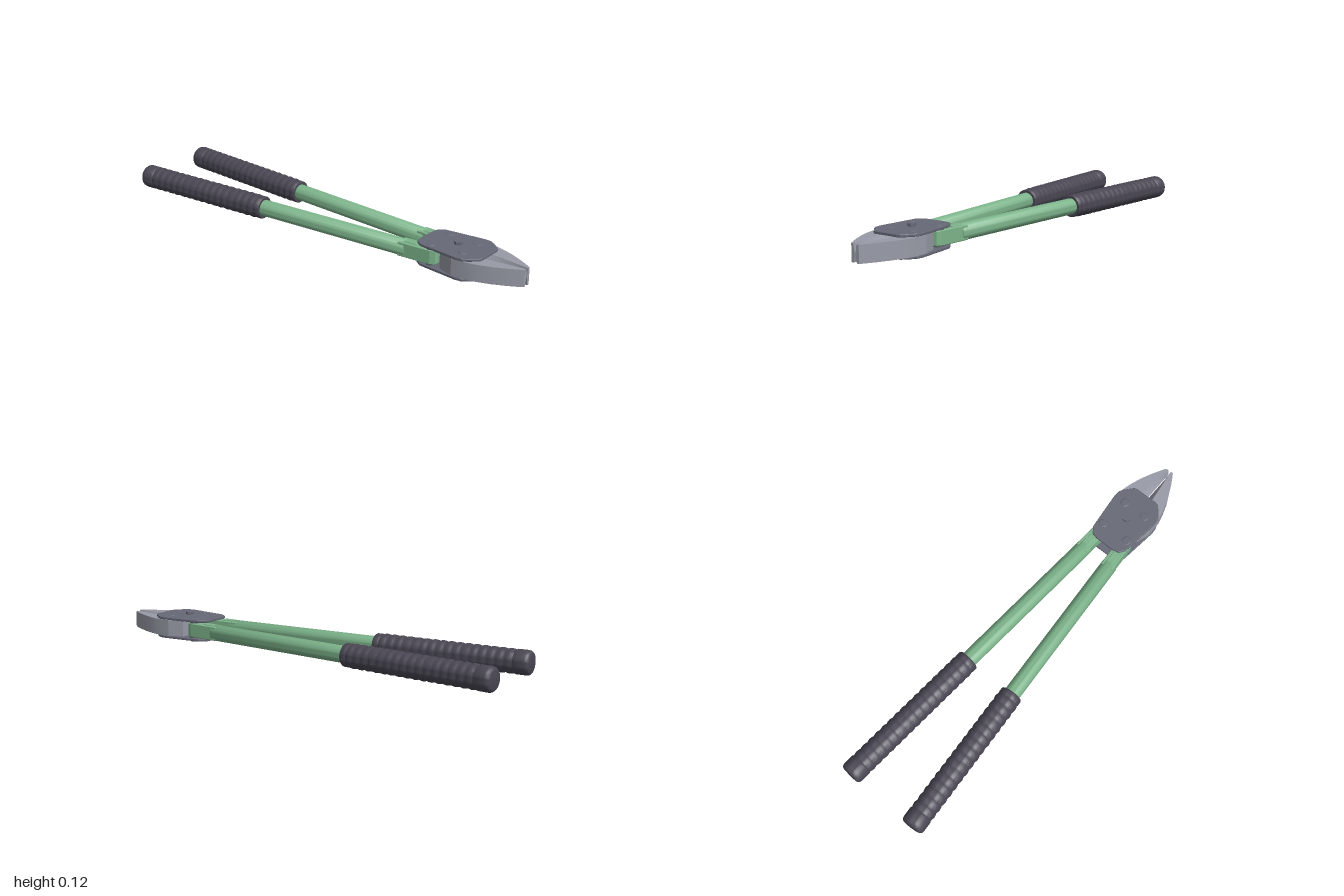
import * as THREE from 'three';
import { toCreasedNormals } from 'three/addons/utils/BufferGeometryUtils.js';

const mat = (name, color) => new THREE.MeshStandardMaterial({ name, color });
const MID = 0.056; // height of the tool's middle plane

export function createModel() {
  const green = mat('greenPaint', 0x7db48b);
  const rubber = mat('darkRubber', 0x4a4753);
  const steel = mat('darkSteel', 0x666976);
  const blade = mat('bladeSteel', 0x989ba7);

  const add = (parent, name, geo, material, x = 0, y = 0, z = 0) => {
    const m = new THREE.Mesh(geo, material);
    m.name = name;
    m.position.set(x, y, z);
    parent.add(m);
    return m;
  };
  // Turned part whose axis runs towards -x
  const turned = (pts, sides) => toCreasedNormals(
    new THREE.LatheGeometry(pts.map(p => new THREE.Vector2(...p)), sides).rotateZ(Math.PI / 2), 0.7);
  // Flat outline in x/z, extruded upwards from y0
  const slab = (pts, y0, height, bevel) => {
    const shape = new THREE.Shape(pts.map(([x, z]) => new THREE.Vector2(x, -z)));
    const geo = new THREE.ExtrudeGeometry(shape, {
      depth: height - 2 * bevel, bevelEnabled: bevel > 0, bevelSize: bevel,
      bevelThickness: bevel, bevelOffset: -bevel, bevelSegments: 1
    });
    return geo.rotateX(-Math.PI / 2).translate(0, y0 + bevel, 0);
  };

  // Ribbed grip profile with rounded end
  const S0 = 0.76, S1 = 1.471, RIBS = 16;
  const gripPts = [[0.03, S0 - 0.004], [0.048, S0 - 0.004], [0.051, S0], [0.051, S0 + 0.022]];
  const ribStart = S0 + 0.026, ribStep = (S1 - 0.07 - ribStart) / RIBS;
  for (let i = 0; i < RIBS; i++) {
    for (const [f, r] of [[0, 0.049], [0.2, 0.0515], [0.5, 0.0535], [0.8, 0.0515]]) {
      gripPts.push([r, ribStart + (i + f) * ribStep]);
    }
  }
  gripPts.push([0.049, S1 - 0.07], [0.053, S1 - 0.064], [0.053, S1 - 0.02], [0.051, S1 - 0.009],
    [0.045, S1 - 0.002], [0.038, S1], [0, S1]);

  const gripGeo = turned(gripPts, 36);
  const tubeGeo = turned([[0, 0], [0.034, 0], [0.037, 0.004], [0.037, S0 + 0.01]], 32);
  const forkGeo = slab([[-0.03, -0.03], [0.125, -0.03], [0.146, -0.02], [0.152, 0],
    [0.146, 0.02], [0.125, 0.03], [-0.03, 0.03]], -0.032, 0.064, 0.003);
  const tongueGeo = slab([[-0.01, -0.016], [0.05, -0.016], [0.05, 0.016], [-0.01, 0.016]], -0.036, 0.072, 0.002);

  // Jaw from cross-sections: x, outer z, bevel z, cutting edge z
  const sections = [
    [0.645, 0.088, 0.012, 0.008], [0.715, 0.111, 0.016, 0.006], [0.79, 0.108, 0.026, 0.003],
    [0.83, 0.098, 0.029, 0.002], [0.885, 0.079, 0.022, 0.002], [0.94, 0.053, 0.015, 0.002],
    [0.975, 0.034, 0.011, 0.002], [1, 0.019, 0.008, 0.002]
  ];
  const H = 0.0375;
  const rings = sections.map(([x, o, t, e]) =>
    [[x, -H, t], [x, 0, e], [x, H, t], [x, H, o], [x, -H, o]]);
  const tri = [];
  const face = (...p) => {
    for (let k = 1; k < p.length - 1; k++) tri.push(...p[0], ...p[k], ...p[k + 1]);
  };
  for (let i = 0; i < rings.length - 1; i++) {
    for (let j = 0; j < 5; j++) {
      const k = (j + 1) % 5;
      face(rings[i][j], rings[i][k], rings[i + 1][k], rings[i + 1][j]);
    }
  }
  face(...rings[rings.length - 1]);
  face(...[...rings[0]].reverse());
  const rawJaw = new THREE.BufferGeometry();
  rawJaw.setAttribute('position', new THREE.Float32BufferAttribute(tri, 3));
  const jawGeo = toCreasedNormals(rawJaw, 0.3);

  const model = new THREE.Group();
  model.name = 'boltCutter';

  // Two equal halves, the second turned half round the long axis
  for (const side of ['left', 'right']) {
    const half = new THREE.Group();
    half.name = side + 'Half';
    half.position.y = MID;
    if (side === 'right') half.rotation.x = Math.PI;
    model.add(half);

    const handle = new THREE.Group();
    handle.name = side + 'Handle';
    handle.position.set(0.47, 0, 0.071);
    handle.rotation.y = 0.07;
    half.add(handle);
    add(handle, 'grip', gripGeo, rubber);
    add(handle, 'tube', tubeGeo, green);
    add(handle, 'fork', forkGeo, green);
    add(handle, 'forkTongue', tongueGeo, green);
    add(half, side + 'Jaw', jawGeo, blade, 0, 0.001, 0);
  }

  // Joint plates above and below
  const edge = [[0.516, 0.045], [0.523, 0.075], [0.55, 0.094], [0.735, 0.115], [0.765, 0.112],
    [0.785, 0.1], [0.822, 0.068], [0.826, 0.055]];
  const outline = [...edge, ...edge.map(([x, z]) => [x, -z]).reverse()];
  const plateGeo = slab(outline, 0, 0.012, 0.002);
  add(model, 'topPlate', plateGeo, steel, 0, 0.0945, 0);
  add(model, 'bottomPlate', plateGeo, steel, 0, 0.0065, 0);

  // Rivets passing through both plates, with low heads
  const rivet = new THREE.LatheGeometry([[0, 0.001], [0.017, 0.001], [0.022, 0.005], [0.022, 0.105],
    [0.017, 0.109], [0, 0.109]].map(p => new THREE.Vector2(...p)), 20);
  const rivetGeo = toCreasedNormals(rivet, 0.5);
  for (const [x, z] of [[0.59, 0.068], [0.735, 0.056]]) {
    for (const s of [1, -1]) add(model, 'rivet', rivetGeo, steel, x, 0, s * z);
  }

  // Centre bolt with hexagonal head and nut
  add(model, 'boltShank', new THREE.CylinderGeometry(0.01, 0.01, 0.11, 16), steel, 0.675, 0.058, 0);
  add(model, 'boltHead', toCreasedNormals(new THREE.CylinderGeometry(0.019, 0.019, 0.011, 6), 0.5), steel, 0.675, 0.1155, 0);
  add(model, 'boltWasher', new THREE.CylinderGeometry(0.013, 0.013, 0.006, 20), steel, 0.675, 0.108, 0);
  add(model, 'boltNut', toCreasedNormals(new THREE.CylinderGeometry(0.018, 0.018, 0.01, 6), 0.5), steel, 0.675, 0.005, 0);
  return model;
}
